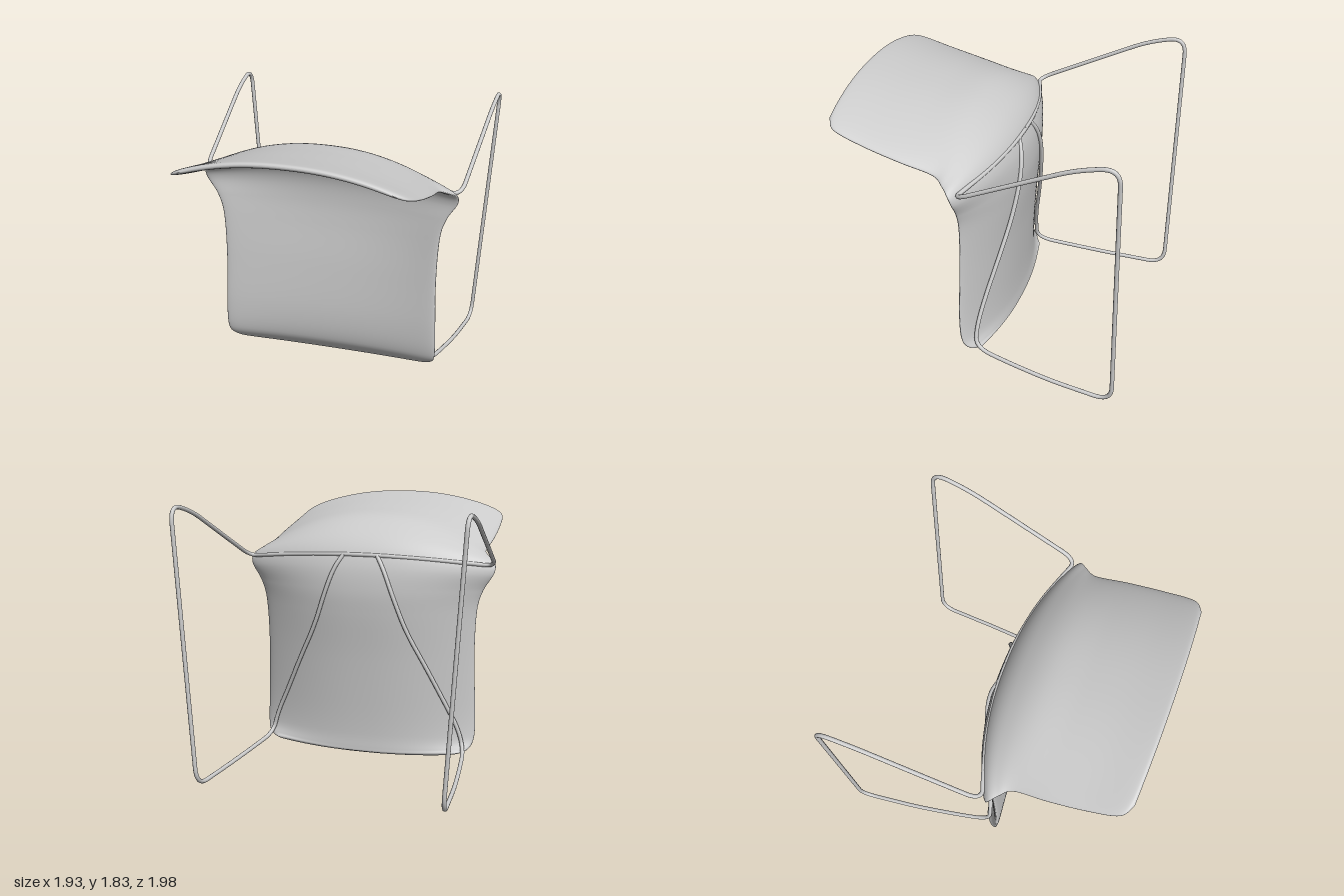
import * as THREE from 'three';
import { ParametricGeometry } from 'three/addons/geometries/ParametricGeometry.js';

const V = (x, y, z) => new THREE.Vector3(x, y, z);

// Straight runs joined by rounded bends, like bent wire
function bentPath(points, radius) {
  const path = new THREE.CurvePath();
  let last = points[0];
  for (let i = 1; i < points.length - 1; i++) {
    const p = points[i];
    const toward = (q) => {
      const d = p.distanceTo(q);
      return p.clone().lerp(q, Math.min(radius, d * 0.499) / d);
    };
    const a = toward(points[i - 1]);
    const b = toward(points[i + 1]);
    path.add(new THREE.LineCurve3(last, a));
    path.add(new THREE.QuadraticBezierCurve3(a, p, b));
    last = b;
  }
  path.add(new THREE.LineCurve3(last, points[points.length - 1]));
  return path;
}

// Stations from the seat's front lip to the top of the backrest:
// [padded side y, z, back side y, z (both on the centre line), edge half width, y, z]
const STATIONS = [
  [0.065, -0.085, 0.065, -0.085, 0.66, 0.095, -0.03],
  [0.095, -0.045, 0.1, -0.082, 0.735, 0.12, 0.025],
  [0.19, 0.02, 0.2, -0.078, 0.768, 0.2, 0.075],
  [0.4, 0.043, 0.4, -0.085, 0.768, 0.4, 0.09],
  [0.75, 0.025, 0.75, -0.108, 0.758, 0.75, 0.082],
  [1.05, -0.005, 1.05, -0.137, 0.77, 1.07, 0.075],
  [1.22, -0.015, 1.22, -0.144, 0.81, 1.22, 0.075],
  [1.36, -0.005, 1.38, -0.124, 0.88, 1.335, 0.08],
  [1.46, 0.03, 1.505, -0.07, 0.885, 1.4, 0.105],
  [1.53, 0.09, 1.605, 0.035, 0.84, 1.435, 0.155],
  [1.585, 0.21, 1.683, 0.2, 0.79, 1.472, 0.235],
  [1.655, 0.45, 1.722, 0.45, 0.792, 1.525, 0.45],
  [1.728, 0.72, 1.762, 0.72, 0.783, 1.59, 0.7],
  [1.783, 0.92, 1.796, 0.92, 0.758, 1.655, 0.905],
  [1.806, 0.985, 1.806, 0.985, 0.68, 1.695, 0.97],
];
const smooth = (pick) => new THREE.CatmullRomCurve3(STATIONS.map(pick), false, 'catmullrom', 0.5);
const padLine = smooth((s) => V(0, s[0], s[1]));
const backLine = smooth((s) => V(0, s[2], s[3]));
const edgeLine = smooth((s) => V(s[4], s[5], s[6]));

// Dished surface; s runs across (-1..1), t runs from front lip to top
function dished(centreLine, s, t) {
  const c = centreLine.getPoint(t);
  const e = edgeLine.getPoint(t);
  const k = Math.pow(Math.abs(s), 2.2);
  return V(s * e.x, c.y + (e.y - c.y) * k, c.z + (e.z - c.z) * k);
}

// One face of the shell, swollen slightly and closing to a rounded rim
function shellFace(centreLine, side) {
  const swell = 0.016;
  return new ParametricGeometry((u, v, target) => {
    const s = side * Math.sin((u - 0.5) * Math.PI);
    const b = Math.sin((v - 0.5) * Math.PI);
    const t = THREE.MathUtils.clamp((b + 1) / 2, 0, 1);
    const h = 0.002;
    const t0 = Math.max(0, t - h), t1 = Math.min(1, t + h);
    const s0 = Math.max(-1, s - h), s1 = Math.min(1, s + h);
    const at = (i, j) => dished(centreLine, i, j);
    const normal = at(s1, t).sub(at(s0, t)).cross(at(s, t1).sub(at(s, t0))).normalize();
    const rim = Math.sqrt(Math.max(0, 1 - Math.abs(s) ** 20) * Math.max(0, 1 - Math.abs(b) ** 40));
    target.copy(at(s, t)).addScaledVector(normal, side * swell * rim);
  }, 48, 110);
}

export function createModel() {
  const model = new THREE.Group();
  model.name = 'chair';
  const material = new THREE.MeshStandardMaterial({ color: 0xcccccc });
  const add = (parent, geometry, name) => {
    const mesh = new THREE.Mesh(geometry, material);
    mesh.name = name;
    parent.add(mesh);
  };

  // Seat and backrest in one padded shell
  const shell = new THREE.Group();
  shell.name = 'seatShell';
  add(shell, shellFace(padLine, 1), 'paddedFace');
  add(shell, shellFace(backLine, -1), 'backFace');
  model.add(shell);

  // Half of the wire frame: under-seat stay, sled leg, then the cross wire
  const wire = [
    [0.12, 1.455, -0.112], [0.18, 1.36, -0.15], [0.24, 1.2, -0.16],
    [0.33, 0.95, -0.13], [0.46, 0.7, -0.08], [0.58, 0.45, -0.025],
    [0.67, 0.27, 0.003], [0.71, 0.115, 0.003], [0.75, 0.075, -0.25],
    [0.79, 0.038, -0.55], [0.828, 0.008, -0.982], [0.955, 1.838, -0.982],
    [0.945, 1.775, -0.72], [0.925, 1.62, -0.4], [0.895, 1.395, 0.065],
    [0.75, 1.41, 0.015], [0.5, 1.435, -0.06], [0.25, 1.45, -0.1],
    [0.12, 1.455, -0.111], [0, 1.456, -0.113],
  ];
  const frame = new THREE.Group();
  frame.name = 'wireFrame';
  for (const side of [1, -1]) {
    const path = bentPath(wire.map(([x, y, z]) => V(side * x, y, z)), 0.125);
    add(frame, new THREE.TubeGeometry(path, 420, 0.0142, 10), side > 0 ? 'leftLegWire' : 'rightLegWire');
  }
  model.add(frame);

  return model;
}
